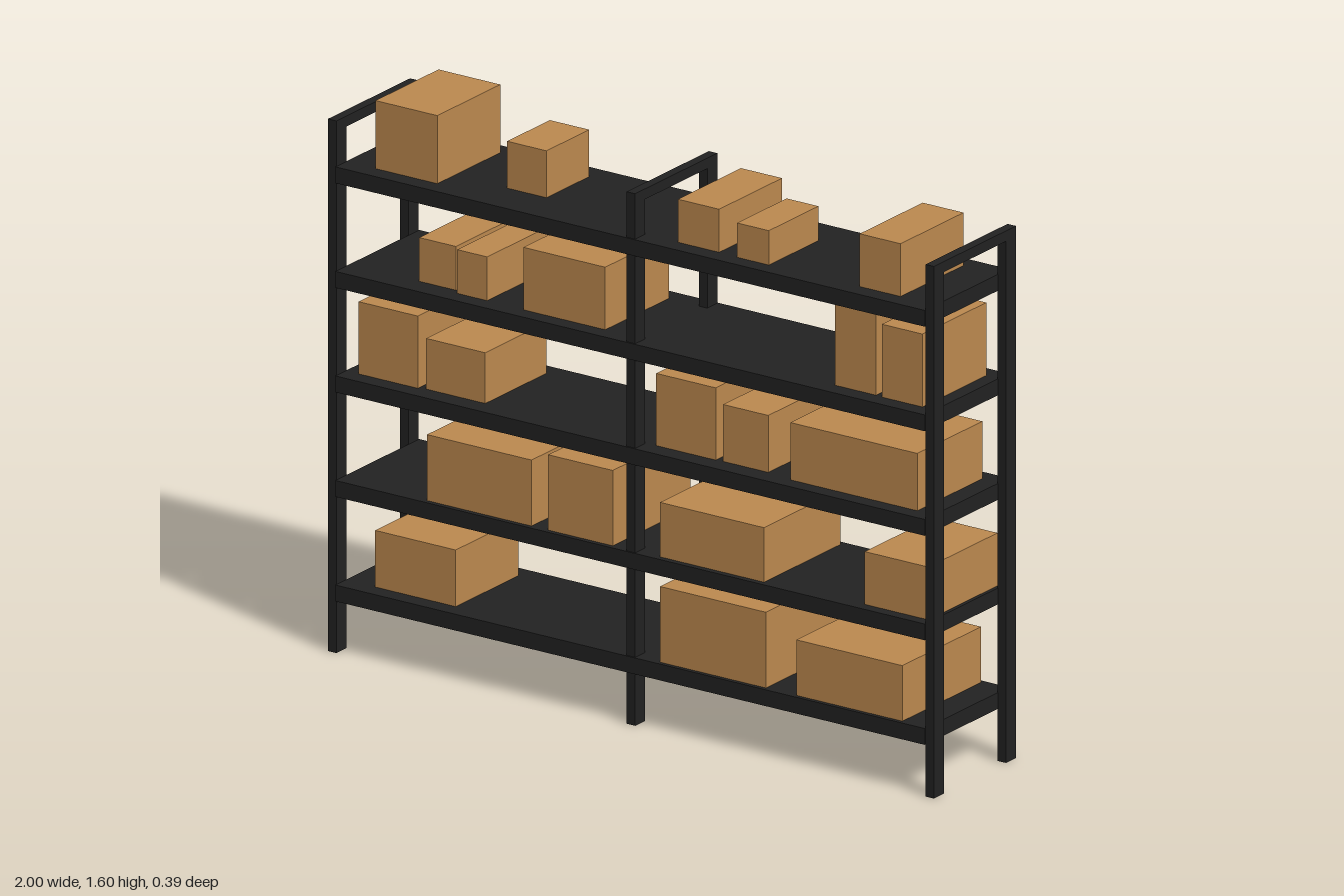
import * as THREE from 'three';

export function createModel() {
  const rack = new THREE.Group();
  rack.name = 'storageRack';

  const metal = new THREE.MeshStandardMaterial({ color: 0x222222 });
  metal.name = 'blackMetal';
  const cardboard = new THREE.MeshStandardMaterial({ color: 0xbc894f });
  cardboard.name = 'cardboard';

  // Box given by its extents along x, y and z
  function block(parent, name, material, [x0, x1], [y0, y1], [z0, z1]) {
    const mesh = new THREE.Mesh(new THREE.BoxGeometry(x1 - x0, y1 - y0, z1 - z0), material);
    mesh.position.set((x0 + x1) / 2, (y0 + y1) / 2, (z0 + z1) / 2);
    mesh.name = name;
    parent.add(mesh);
  }

  // Three upright frames: two posts joined by a rail at the top
  for (const x of [-0.986, 0, 0.986]) {
    const frame = new THREE.Group();
    frame.name = 'uprightFrame';
    const span = [x - 0.014, x + 0.014];
    block(frame, 'backPost', metal, span, [0, 1.532], [-0.193, -0.146]);
    block(frame, 'frontPost', metal, span, [0, 1.532], [0.146, 0.193]);
    block(frame, 'topRail', metal, span, [1.502, 1.532], [-0.146, 0.146]);
    rack.add(frame);
  }

  // Cartons on each shelf, bottom to top: [left x, right x, top y, back z, front z]
  const B = -0.148, F = 0.148;
  const cartons = [
    [[-0.876, -0.61, 0.36, B, F], [0.09, 0.44, 0.415, -0.185, 0.185], [0.54, 0.89, 0.357, -0.185, 0.185]],
    [[-0.68, -0.335, 0.688, -0.183, 0.183], [-0.28, -0.067, 0.715, -0.183, 0.183],
      [0.087, 0.43, 0.655, -0.18, 0.18], [0.752, 0.962, 0.65, -0.16, 0.165]],
    [[-0.93, -0.735, 1.007, B, F], [-0.713, -0.518, 0.945, B, 0.14], [0.048, 0.245, 1.007, -0.14, 0.143],
      [0.267, 0.416, 0.963, B, 0.14], [0.498, 0.917, 0.964, -0.153, 0.153]],
    [[-0.743, -0.622, 1.226, B, 0.13], [-0.605, -0.506, 1.226, B, F], [-0.385, -0.115, 1.28, -0.15, 0.15],
      [0.642, 0.777, 1.338, -0.15, 0.147], [0.798, 0.932, 1.31, -0.15, 0.15]],
    [[-0.876, -0.672, 1.597, -0.15, 0.146], [-0.498, -0.368, 1.536, -0.135, 0.066],
      [0.122, 0.258, 1.525, -0.15, 0.146], [0.32, 0.425, 1.5, -0.083, 0.15], [0.722, 0.857, 1.553, -0.15, 0.146]],
  ];

  // Shelves with their load
  cartons.forEach((row, i) => {
    const top = 0.197 + 0.301 * i;
    const level = new THREE.Group();
    level.name = 'shelfLevel' + (i + 1);
    block(level, 'shelf', metal, [-0.973, 0.973], [top - 0.047, top], [-0.197, 0.197]);
    for (const [x0, x1, y1, z0, z1] of row) {
      block(level, 'carton', cardboard, [x0, x1], [top, y1], [z0, z1]);
    }
    rack.add(level);
  });

  return rack;
}
